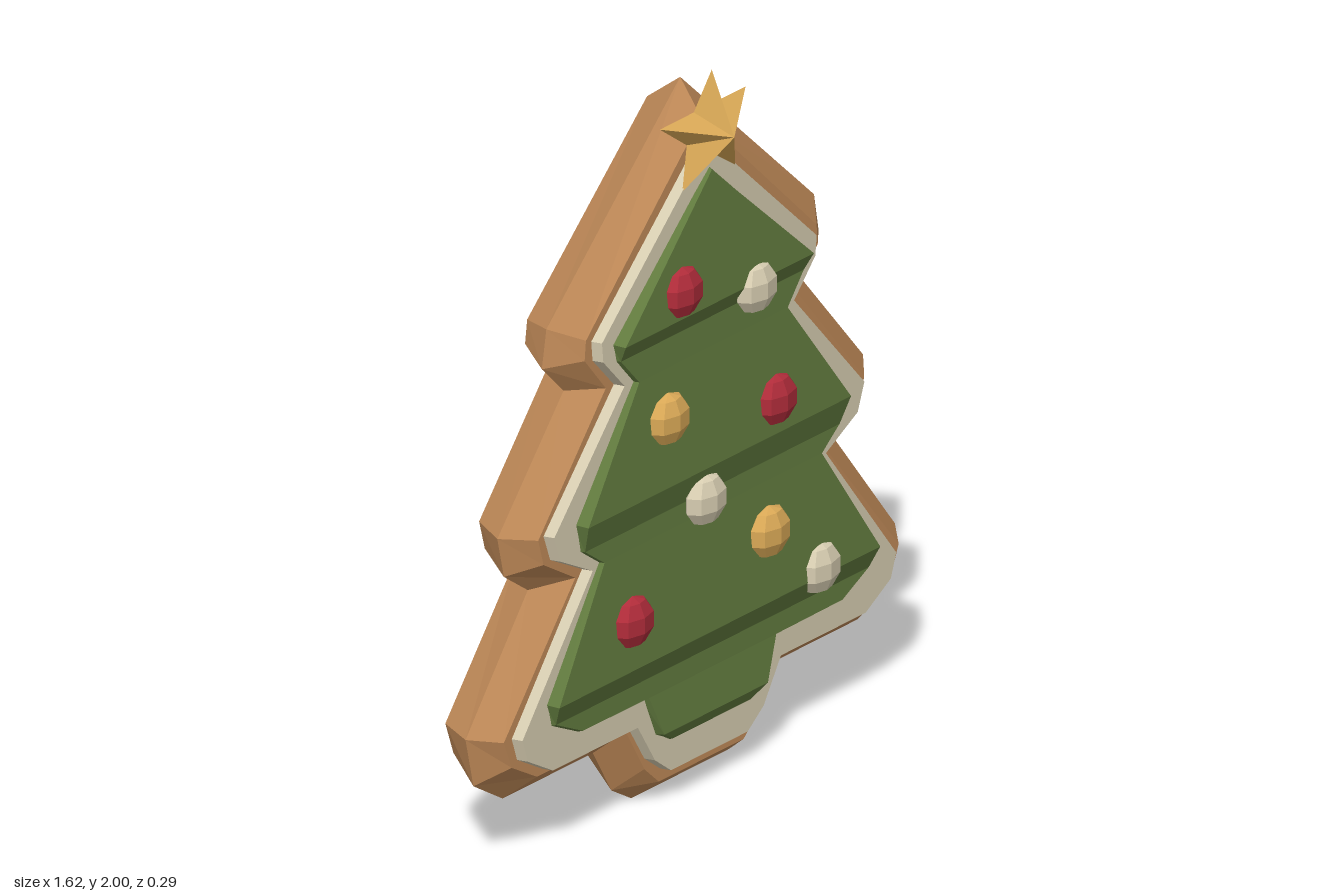
import * as THREE from 'three';

const mat = (name, color) => {
  const m = new THREE.MeshStandardMaterial({ color });
  m.name = name;
  return m;
};

// right half outline, top to bottom -> closed counter-clockwise loop of Vector3
function loop(half, z) {
  const right = half.map(([x, y, pz]) => new THREE.Vector3(x, y, pz ?? z));
  const left = right.filter(p => p.x > 0).map(p => new THREE.Vector3(-p.x, p.y, p.z));
  return [...left, ...right.reverse()];
}

function facets(points) {
  const g = new THREE.BufferGeometry().setFromPoints(points);
  g.computeVertexNormals();
  return g;
}

// walls between successive loops, ordered back to front
function walls(loops) {
  const out = [];
  for (let k = 0; k + 1 < loops.length; k++) {
    const a = loops[k], b = loops[k + 1], n = a.length;
    for (let i = 0; i < n; i++) {
      const j = (i + 1) % n;
      out.push(a[i], a[j], b[j], a[i], b[j], b[i]);
    }
  }
  return out;
}

function cap(pts, front) {
  const tris = THREE.ShapeUtils.triangulateShape(pts.map(p => new THREE.Vector2(p.x, p.y)), []);
  return tris.flatMap(([a, b, c]) => {
    const ccw = (pts[b].x - pts[a].x) * (pts[c].y - pts[a].y) - (pts[b].y - pts[a].y) * (pts[c].x - pts[a].x) > 0;
    return ccw === front ? [pts[a], pts[b], pts[c]] : [pts[a], pts[c], pts[b]];
  });
}

const solid = loops => facets([...walls(loops), ...cap(loops[0], false), ...cap(loops.at(-1), true)]);

// outlines of the right half
const EDGE = [[0, 1.945], [0.505, 1.43], [0.522, 1.325], [0.44, 1.235], [0.69, 0.915], [0.665, 0.8], [0.575, 0.73],
  [0.81, 0.4], [0.78, 0.26], [0.67, 0.185], [0.33, 0.185], [0.26, 0.055], [0.185, 0.005]];
const RIM = [[0, 1.855], [0.435, 1.395], [0.44, 1.34], [0.36, 1.235], [0.615, 0.905], [0.595, 0.83], [0.475, 0.75],
  [0.745, 0.39], [0.715, 0.31], [0.62, 0.25], [0.285, 0.25], [0.215, 0.12], [0.16, 0.065]];
const ICING = [[0, 1.8], [0.405, 1.385], [0.4, 1.33], [0.32, 1.235], [0.585, 0.91], [0.56, 0.835], [0.44, 0.765],
  [0.705, 0.39], [0.685, 0.325], [0.59, 0.265], [0.27, 0.265], [0.205, 0.15], [0.145, 0.1]];
// green surface: half width, height, depth of each tier row
const GREEN = [[0, 1.72, 0.07], [0.355, 1.365, 0.097], [0.345, 1.315, 0.072], [0.28, 1.235, 0.076],
  [0.495, 0.915, 0.097], [0.48, 0.835, 0.072], [0.41, 0.78, 0.075], [0.605, 0.455, 0.097], [0.59, 0.395, 0.072],
  [0.49, 0.342, 0.073], [0.24, 0.34, 0.073], [0.195, 0.225, 0.085], [0.145, 0.192, 0.07]];

function greenGeometry() {
  const base = GREEN.map(([x, y], i) => {
    const grow = i === 0 ? 0 : 0.009;
    return [x + grow, y + (i === 0 ? 0.012 : i > 7 ? -0.006 : 0)];
  });
  const pts = walls([loop(base, 0.055), loop(GREEN)]);
  for (let i = 0; i + 1 < GREEN.length; i++) {
    const [x0, y0, z0] = GREEN[i], [x1, y1, z1] = GREEN[i + 1];
    const tl = new THREE.Vector3(-x0, y0, z0), tr = new THREE.Vector3(x0, y0, z0);
    const bl = new THREE.Vector3(-x1, y1, z1), br = new THREE.Vector3(x1, y1, z1);
    pts.push(bl, br, tr);
    if (x0 > 0) pts.push(bl, tr, tl);
  }
  return facets(pts);
}

// five-pointed star with a raised centre on both sides
function starGeometry() {
  const cy = 1.83, depth = [0.07, 0.04, 0.06, 0.06, 0.04], ring = [];
  for (let i = 0; i < 10; i++) {
    const a = Math.PI / 2 + i * Math.PI / 5, r = i % 2 ? 0.073 : 0.17;
    ring.push(new THREE.Vector3(r * Math.cos(a), cy + r * Math.sin(a), i % 2 ? 0.048 : depth[i / 2]));
  }
  const front = new THREE.Vector3(0, cy + 0.005, 0.145), back = new THREE.Vector3(0, cy, 0.025);
  return facets(ring.flatMap((p, i) => {
    const q = ring[(i + 1) % 10];
    return [p, q, front, q, p, back];
  }));
}

export function createModel() {
  const biscuit = mat('biscuit brown', 0xc08a58);
  const cream = mat('icing cream', 0xd6ccb0);
  const green = mat('tree green', 0x617a3e);
  const red = mat('bauble red', 0xb02c3a);
  const gold = mat('gold', 0xd9a856);

  const model = new THREE.Group();
  model.name = 'treeCookie';
  const add = (name, geometry, material) => {
    const mesh = new THREE.Mesh(geometry, material);
    mesh.name = name;
    model.add(mesh);
    return mesh;
  };

  // cookie slab, widest between its bevelled faces
  const back = EDGE.map(([x, y], i) => [
    THREE.MathUtils.lerp(x, RIM[i][0], 0.75), THREE.MathUtils.lerp(y, RIM[i][1], i ? 0.8 : 1)]);
  add('cookie', solid([loop(back, -0.145), loop(EDGE, -0.035), loop(RIM, 0.035)]), biscuit);

  // icing layers
  const icingFoot = ICING.map(([x, y], i) => [x ? x + 0.012 : 0, i ? y : y + 0.012]);
  add('icingBorder', solid([loop(icingFoot, 0.03), loop(ICING, 0.062)]), cream);
  add('greenIcing', greenGeometry(), green);

  add('star', starGeometry(), gold);

  // flattened low-poly baubles
  const ball = new THREE.SphereGeometry(0.071, 8, 5).toNonIndexed();
  ball.scale(1, 1, 0.62);
  ball.computeVertexNormals();
  const baubles = [
    [-0.13, 1.435, red], [0.225, 1.005, red], [-0.315, 0.585, red],
    [0.15, 1.345, cream], [-0.04, 0.825, cream], [0.39, 0.475, cream],
    [-0.18, 1.1, gold], [0.2, 0.645, gold]];
  for (const [x, y, material] of baubles) add('bauble', ball, material).position.set(x, y, 0.083);

  return model;
}
